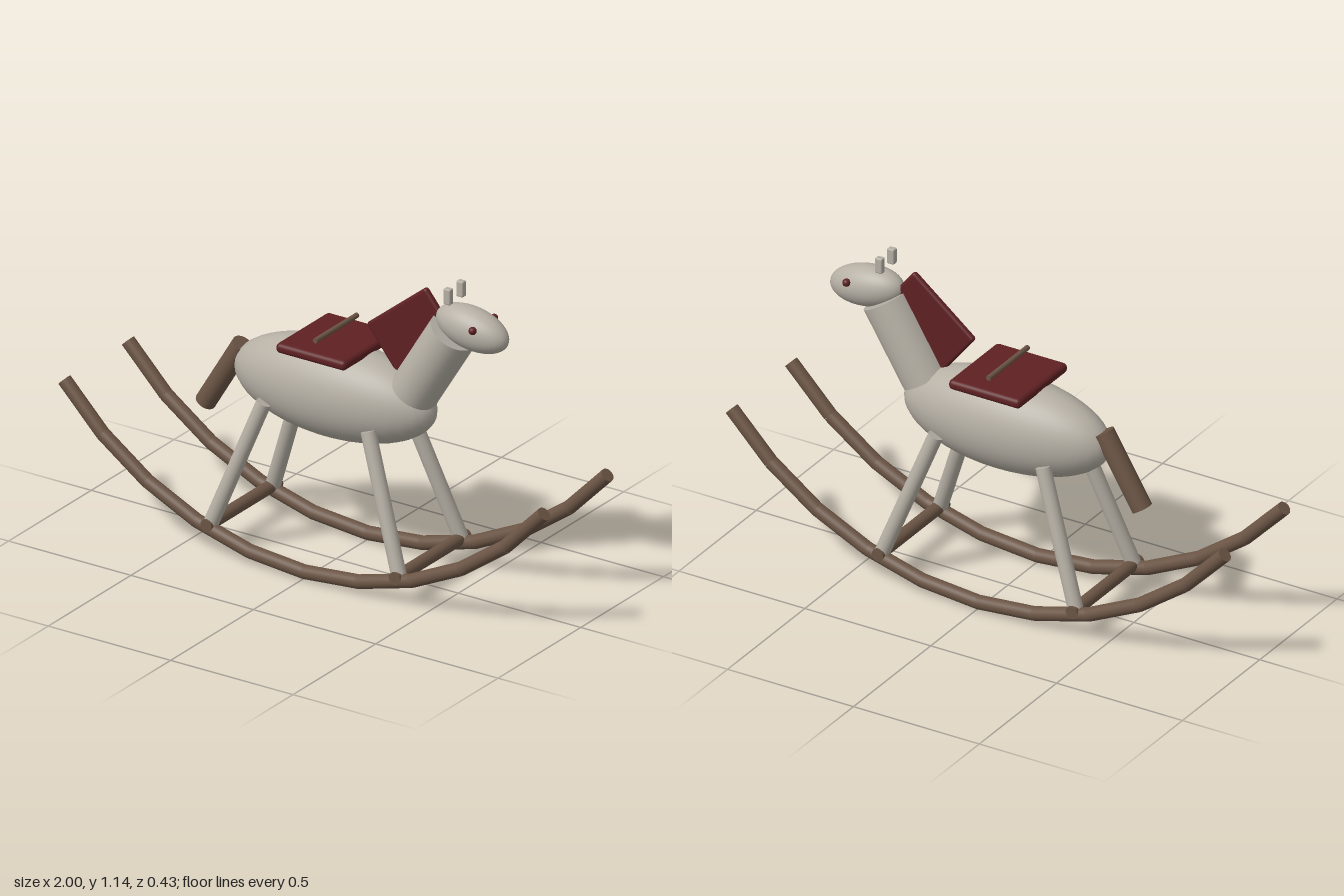
import * as THREE from 'three';
import { RoundedBoxGeometry } from 'three/addons/geometries/RoundedBoxGeometry.js';

export function createModel() {
  const model = new THREE.Group();
  model.name = 'rockingHorse';

  const material = (name, color) => {
    const m = new THREE.MeshStandardMaterial({ color });
    m.name = name;
    return m;
  };
  const paint = material('paleGreyPaint', 0xb5afa4);
  const wood = material('brownWood', 0x6a5444);
  const maroon = material('maroonLeather', 0x5e2022);

  const add = (name, geometry, mat, x = 0, y = 0, z = 0) => {
    const mesh = new THREE.Mesh(geometry, mat);
    mesh.name = name;
    mesh.position.set(x, y, z);
    model.add(mesh);
    return mesh;
  };

  // Cylinder running between two points
  const up = new THREE.Vector3(0, 1, 0);
  const rod = (name, from, to, radius, mat, sides = 24) => {
    const a = new THREE.Vector3(...from);
    const b = new THREE.Vector3(...to);
    const dir = b.clone().sub(a);
    const mesh = add(name, new THREE.CylinderGeometry(radius, radius, dir.length(), sides), mat);
    mesh.position.copy(a).add(b).multiplyScalar(0.5);
    mesh.quaternion.setFromUnitVectors(up, dir.normalize());
    return mesh;
  };

  const ellipsoid = (name, rx, ry, rz, mat, x, y, z) =>
    add(name, new THREE.SphereGeometry(1, 40, 28).scale(rx, ry, rz), mat, x, y, z);

  // Body, neck, head and tail
  ellipsoid('body', 0.403, 0.175, 0.151, paint, 0, 0.64, 0);
  rod('neck', [0.321, 0.709, 0], [0.482, 0.971, 0], 0.0875, paint, 32);
  ellipsoid('head', 0.144, 0.075, 0.07, paint, 0.558, 1.002, 0).rotation.z = -0.17;
  rod('tail', [-0.381, 0.704, 0], [-0.533, 0.452, 0], 0.037, wood);

  // Mane plate, sunk into the back of the neck
  add('mane', new RoundedBoxGeometry(0.31, 0.21, 0.025, 3, 0.011), maroon, 0.315, 0.929, 0)
    .rotation.z = 0.675;

  // Saddle and hand bar
  add('saddle', new RoundedBoxGeometry(0.285, 0.037, 0.32, 4, 0.016), maroon, 0, 0.809, 0);
  rod('handleBar', [0, 0.86, -0.127], [0, 0.86, 0.127], 0.0095, wood, 16);

  // Rocker arc, described by its radius and half angle
  const R = 1.265, halfAngle = 0.886, segments = 10;
  const arcPoint = (i, z) => {
    const t = halfAngle * (2 * i / segments - 1);
    return [R * Math.sin(t), 0.026 + R * (1 - Math.cos(t)), z];
  };

  for (const side of [-1, 1]) {
    ellipsoid('eye', 0.014, 0.014, 0.014, maroon, 0.602, 1.027, side * 0.065);
    add('ear', new RoundedBoxGeometry(0.028, 0.058, 0.024, 2, 0.005), paint, 0.485, 1.117, side * 0.039);

    // Splayed legs
    for (const end of [-1, 1]) {
      rod('leg', [end * 0.385, 0.105, side * 0.188], [end * 0.213, 0.575, side * 0.12], 0.027, paint);
    }

    // Rocker made of straight lengths
    for (let i = 0; i < segments; i++) {
      rod('rockerSegment', arcPoint(i, side * 0.192), arcPoint(i + 1, side * 0.192), 0.025, wood);
    }
  }

  // Cross bars joining the rockers
  for (const end of [-1, 1]) {
    rod('crossBar', [end * 0.385, 0.107, -0.217], [end * 0.385, 0.107, 0.217], 0.023, wood);
  }

  return model;
}
